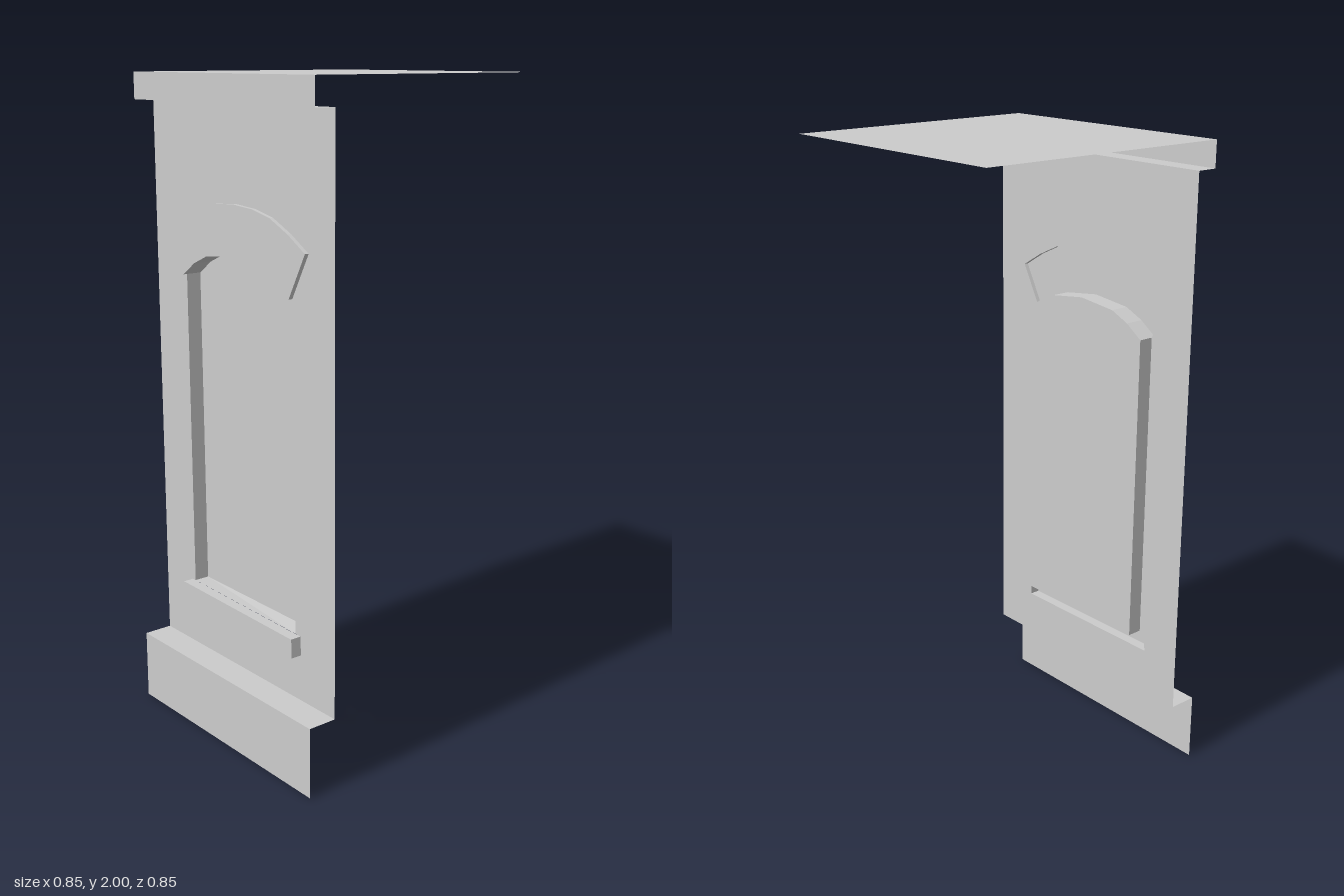
import * as THREE from 'three';

const material = new THREE.MeshStandardMaterial({ color: 0xcccccc, side: THREE.DoubleSide, flatShading: true });

// Depths of the sheet surfaces
const WALL = 0.334, PANE = 0.286, ARCH = 0.347, SILL = 0.368, BASE = 0.425, CORNICE = 0.4;
const HALF = 0.425;

// Outlines in x, y, running clockwise as seen from the front
const archInner = [[-0.268, 1.41], [-0.21, 1.45], [-0.145, 1.478], [-0.01, 1.492], [0.12, 1.475], [0.19, 1.443], [0.243, 1.403]];
const archOuter = [[-0.335, 1.537], [-0.27, 1.578], [-0.198, 1.61], [-0.1, 1.634], [-0.01, 1.64], [0.08, 1.634], [0.16, 1.617], [0.24, 1.58], [0.315, 1.535]];
const sill = [[-0.29, 0.365], [-0.28, 0.428], [0.27, 0.418], [0.272, 0.36]];
const archLeft = archInner[0], archRight = archInner.at(-1);
const jambLeft = [-0.265, 0.428], jambRight = [0.248, 0.419], paneRight = [0.235, 0.425];

const at = (path, z) => path.map(([x, y]) => [x, y, z]);

// Ruled strip between two paths with equal point counts
function band(a, b) {
  const pos = [];
  for (let i = 0; i < a.length - 1; i++) {
    pos.push(...a[i], ...b[i], ...b[i + 1], ...a[i], ...b[i + 1], ...a[i + 1]);
  }
  const g = new THREE.BufferGeometry();
  g.setAttribute('position', new THREE.Float32BufferAttribute(pos, 3));
  g.computeVertexNormals();
  return g;
}

const points = (path) => path.map(([x, y]) => new THREE.Vector2(x, y));

// Flat sheet facing forward, optionally with a hole
function sheet(path, z, hole) {
  const shape = new THREE.Shape(points(path));
  if (hole) shape.holes.push(new THREE.Path(points(hole)));
  return new THREE.ShapeGeometry(shape).translate(0, 0, z);
}

// Sheet folded along x from a profile of y, z points
const folded = (profile) => band(
  profile.map(([y, z]) => [-HALF, y, z]),
  profile.map(([y, z]) => [HALF, y, z]),
);

export function createModel() {
  const model = new THREE.Group();
  model.name = 'pedestal';
  const add = (name, geometry, parent = model) => {
    const mesh = new THREE.Mesh(geometry, material);
    mesh.name = name;
    parent.add(mesh);
  };
  const group = (name) => {
    const g = new THREE.Group();
    g.name = name;
    model.add(g);
    return g;
  };

  // Folded plinth at the foot, cornice and top plate above
  add('plinth', folded([[0, BASE], [0.217, BASE], [0.217, WALL]]));
  add('cornice', folded([[1.92, WALL], [1.92, CORNICE], [2, CORNICE]]));
  add('topPlate', folded([[2, CORNICE], [2, -HALF]]));

  // Wall, open behind the niche and its trim
  const opening = [sill[0], sill[1], jambLeft, archLeft, ...archOuter, archRight, jambRight, sill[2], sill[3]];
  add('wall', sheet([[-HALF, 0.217], [HALF, 0.217], [HALF, 1.92], [-HALF, 1.92]], WALL, opening));

  // Recessed panel with jambs and arched soffit
  const niche = group('niche');
  add('panel', sheet([jambLeft, ...archInner, paneRight], PANE), niche);
  add('leftJamb', band(at([jambLeft, archLeft], WALL), at([jambLeft, archLeft], PANE)), niche);
  add('rightJamb', band(at([archRight, jambRight], WALL), at([archRight, paneRight], PANE)), niche);
  add('archSoffit', band(at(archInner, ARCH), at(archInner, PANE)), niche);
  add('nicheFloor', band(at([jambLeft, paneRight], PANE), at([jambLeft, jambRight], WALL)), niche);

  // Raised arched trim
  const arch = group('archTrim');
  const rim = [archLeft, ...archOuter, archRight];
  add('archFace', sheet([...archInner, ...[...archOuter].reverse()], ARCH), arch);
  add('archRim', band(at(rim, WALL), at(rim, ARCH)), arch);

  // Projecting sill, hollow at the back
  const ledge = group('sill');
  const loop = [...sill, sill[0]];
  add('sillFace', sheet(sill, SILL), ledge);
  add('sillRim', band(at(loop, WALL), at(loop, SILL)), ledge);

  return model;
}
